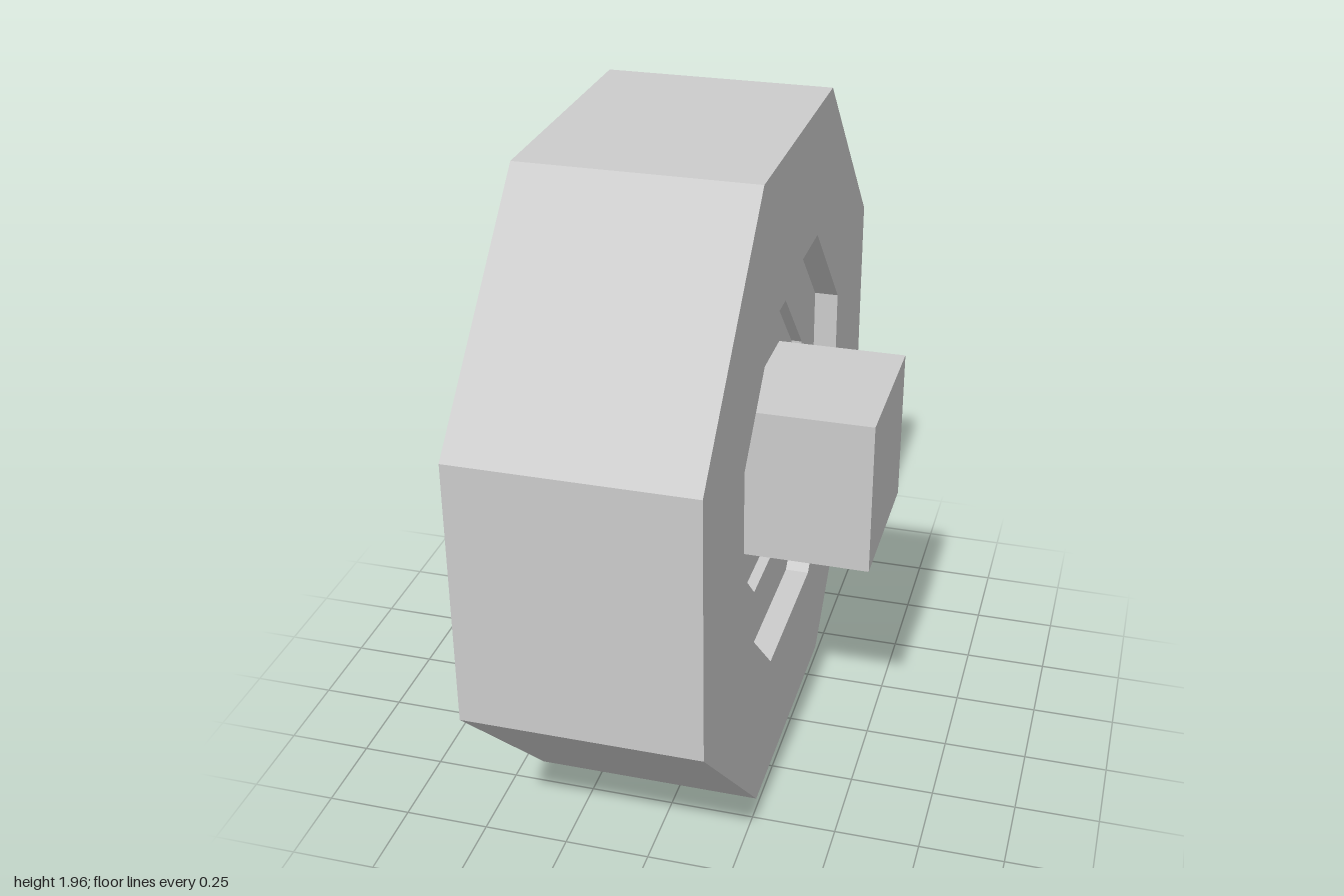
import * as THREE from 'three';

const CY = 0.98; // axle height

// Corners of an octagon lying across the axle: half-sizes and the half-lengths of its flat sides
function octagon(halfZ, halfY, flatZ, flatY) {
  return [
    [flatZ, -halfY], [halfZ, -flatY], [halfZ, flatY], [flatZ, halfY],
    [-flatZ, halfY], [-halfZ, flatY], [-halfZ, -flatY], [-flatZ, -halfY],
  ].map(([z, y]) => new THREE.Vector2(z, y));
}

// Plate running along x from x0 to x1, with an optional hole
function plate(name, outline, hole, x0, x1, material) {
  const shape = new THREE.Shape(outline);
  if (hole) shape.holes.push(new THREE.Path(hole));
  const geometry = new THREE.ExtrudeGeometry(shape, { depth: x1 - x0, bevelEnabled: false });
  geometry.rotateY(Math.PI / 2);
  const mesh = new THREE.Mesh(geometry, material);
  mesh.name = name;
  mesh.position.set(x0, CY, 0);
  return mesh;
}

export function createModel() {
  const model = new THREE.Group();
  model.name = 'wheel';
  const material = new THREE.MeshStandardMaterial({ color: 0xcccccc, flatShading: true });

  const tyreOuter = octagon(1, 0.98, 0.415, 0.393);
  const rimOuter = octagon(0.594, 0.585, 0.255, 0.248);
  const hubOuter = octagon(0.411, 0.402, 0.174, 0.16);

  // Tyre, with the rim and then the hub sunk into both sides
  model.add(plate('tyre', tyreOuter, rimOuter, -0.44, 0.24, material));
  model.add(plate('rim', rimOuter, hubOuter, -0.422, 0.167, material));
  model.add(plate('hub', hubOuter, null, -0.36, 0.134, material));

  // Square axle through the hub
  const axle = new THREE.Mesh(new THREE.BoxGeometry(1.04, 0.47, 0.475), material);
  axle.name = 'axle';
  axle.position.set(0, CY, -0.005);
  model.add(axle);

  return model;
}
